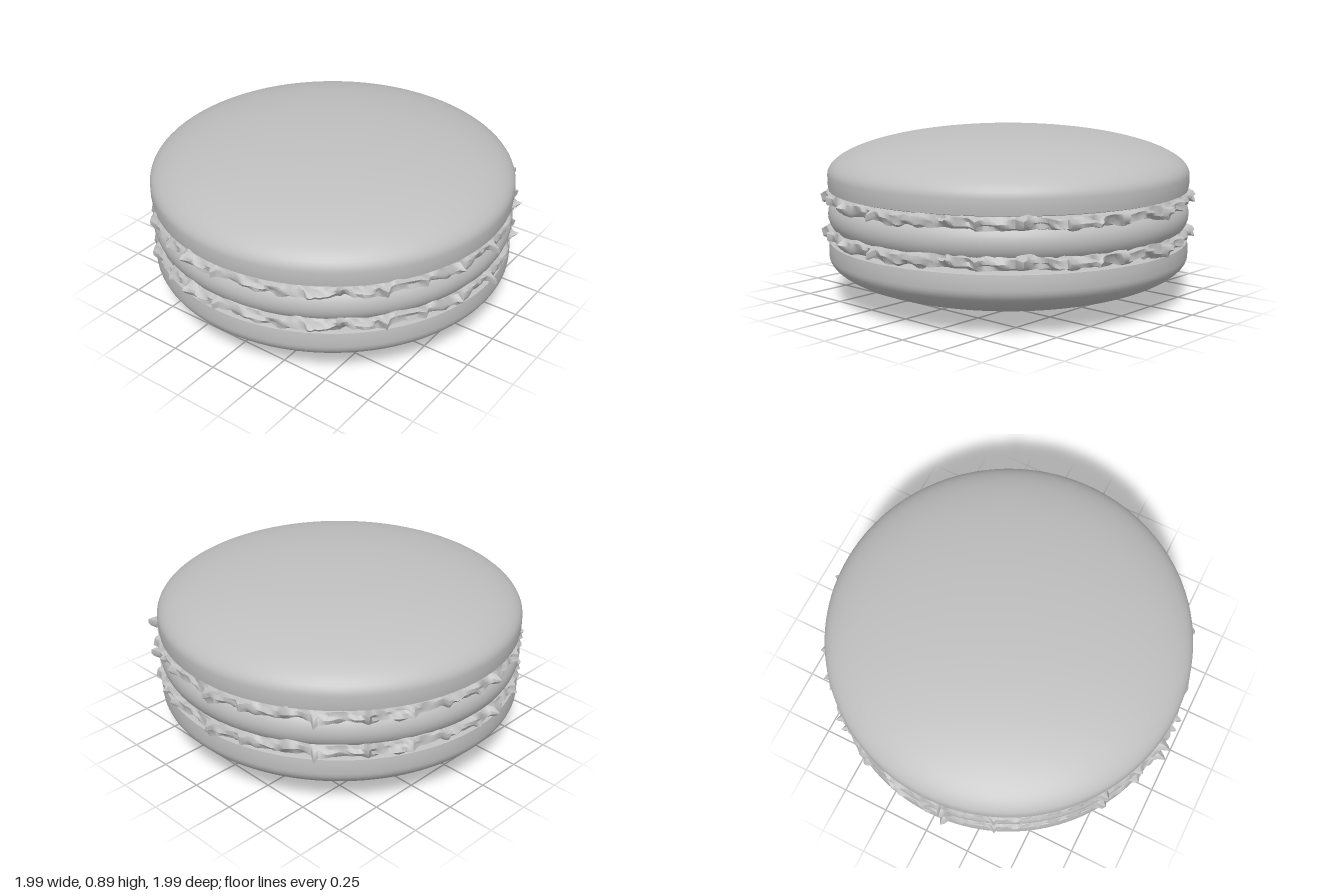
import * as THREE from 'three';
import { toCreasedNormals } from 'three/addons/utils/BufferGeometryUtils.js';

const MID = 0.447; // height of the mirror plane

export function createModel() {
  const group = new THREE.Group();
  group.name = 'macaron';
  const biscuit = new THREE.MeshStandardMaterial({ color: 0xbfbfbf });
  biscuit.name = 'biscuit grey';

  const add = (name, geometry) => {
    const mesh = new THREE.Mesh(geometry, biscuit);
    mesh.name = name;
    group.add(mesh);
    return mesh;
  };
  const lathe = (points) =>
    toCreasedNormals(new THREE.LatheGeometry(points.map(([r, y]) => new THREE.Vector2(r, y)), 128), 0.7);

  // Domed shells: flat inner face, short wall, elliptical dome
  const shell = [[0, 0.575], [0.925, 0.575], [0.94, 0.58], [0.944, 0.61], [0.944, 0.655]];
  for (let i = 1; i <= 24; i++) {
    const a = (i / 24) * Math.PI / 2;
    shell.push([i === 24 ? 0 : 0.944 * Math.cos(a), 0.655 + 0.235 * Math.sin(a)]);
  }
  add('topShell', lathe(shell));
  add('bottomShell', lathe(shell.map(([r, y]) => [r, 2 * MID - 0.004 - y]).reverse()));

  // Cream filling with a rounded rim
  const cream = [[0, 0.34]];
  for (let i = 0; i <= 16; i++) {
    const a = -Math.PI / 2 + (i / 16) * Math.PI;
    cream.push([0.83 + 0.115 * Math.cos(a), 0.45 + 0.11 * Math.sin(a)]);
  }
  cream.push([0, 0.56]);
  add('filling', lathe(cream));

  // Crumbly foot rings, the same shape used twice
  const foot = crumblyRing();
  add('topFoot', foot).position.y = 0.543;
  add('bottomFoot', foot).position.y = 0.36;
  return group;
}

// Ring with a small round section, roughened by noise and drawn out into spikes
function crumblyRing() {
  const AROUND = 360, SIDES = 12;
  // x, z of the longest crumbs
  const tips = [
    [-0.08, -0.99], [0.22, -0.95], [0.36, -0.91], [0.52, -0.82], [0.7, -0.72], [0.82, -0.53], [0.89, -0.42],
    [0.99, 0], [0.94, 0.25], [0.87, 0.45], [0.76, 0.62], [0.6, 0.77], [0.48, 0.85], [0, 0.98],
    [-0.17, 0.985], [-0.34, 0.92], [-0.54, 0.82], [-0.8, 0.57], [-0.9, 0.36], [-0.99, 0.11],
    [-0.94, -0.21], [-0.88, -0.4], [-0.78, -0.59], [-0.6, -0.77], [-0.48, -0.84], [-0.27, -0.93],
  ].map(([x, z], i) => ({
    angle: Math.atan2(z, x), reach: Math.hypot(x, z) - 0.945,
    lift: 0.02 * Math.sin(i * 2.4), width: 0.022 + 0.008 * Math.sin(i * 5.1),
  }));

  const hash = (i, j) => {
    const s = Math.sin(i * 127.1 + j * 311.7) * 43758.5453;
    return (s - Math.floor(s)) * 2 - 1;
  };
  // Value noise that repeats around the ring
  const noise = (u, cells, row) => {
    const p = u * cells, i = Math.floor(p), f = p - i, t = f * f * (3 - 2 * f);
    return hash(i % cells, row) * (1 - t) + hash((i + 1) % cells, row) * t;
  };

  const positions = [], index = [];
  for (let i = 0; i < AROUND; i++) {
    const u = i / AROUND, angle = u * Math.PI * 2;
    const drift = 0.009 * noise(u, 50, 40);
    for (let j = 0; j < SIDES; j++) {
      const b = (j / SIDES) * Math.PI * 2;
      const out = Math.max(0, Math.cos(b));
      const rough = 0.012 * noise(u, 90, j) + 0.008 * noise(u, 150, j + 20);
      const size = 0.03 + rough;
      let r = 0.917 + size * Math.cos(b) + 0.008 * noise(u, 70, 60);
      let y = drift + size * Math.sin(b) * 1.1;
      for (const tip of tips) {
        const d = Math.atan2(Math.sin(angle - tip.angle), Math.cos(angle - tip.angle));
        const k = Math.max(0, 1 - Math.abs(d) / tip.width) * out;
        r += k * (tip.reach + 0.004);
        y += k * tip.lift;
      }
      positions.push(r * Math.cos(angle), y, r * Math.sin(angle));

      const ni = (i + 1) % AROUND, nj = (j + 1) % SIDES;
      const a = i * SIDES + j, c = ni * SIDES + nj;
      index.push(a, i * SIDES + nj, c, a, c, ni * SIDES + j);
    }
  }
  const geometry = new THREE.BufferGeometry();
  geometry.setAttribute('position', new THREE.Float32BufferAttribute(positions, 3));
  geometry.setIndex(index);
  return toCreasedNormals(geometry, 0.8);
}
